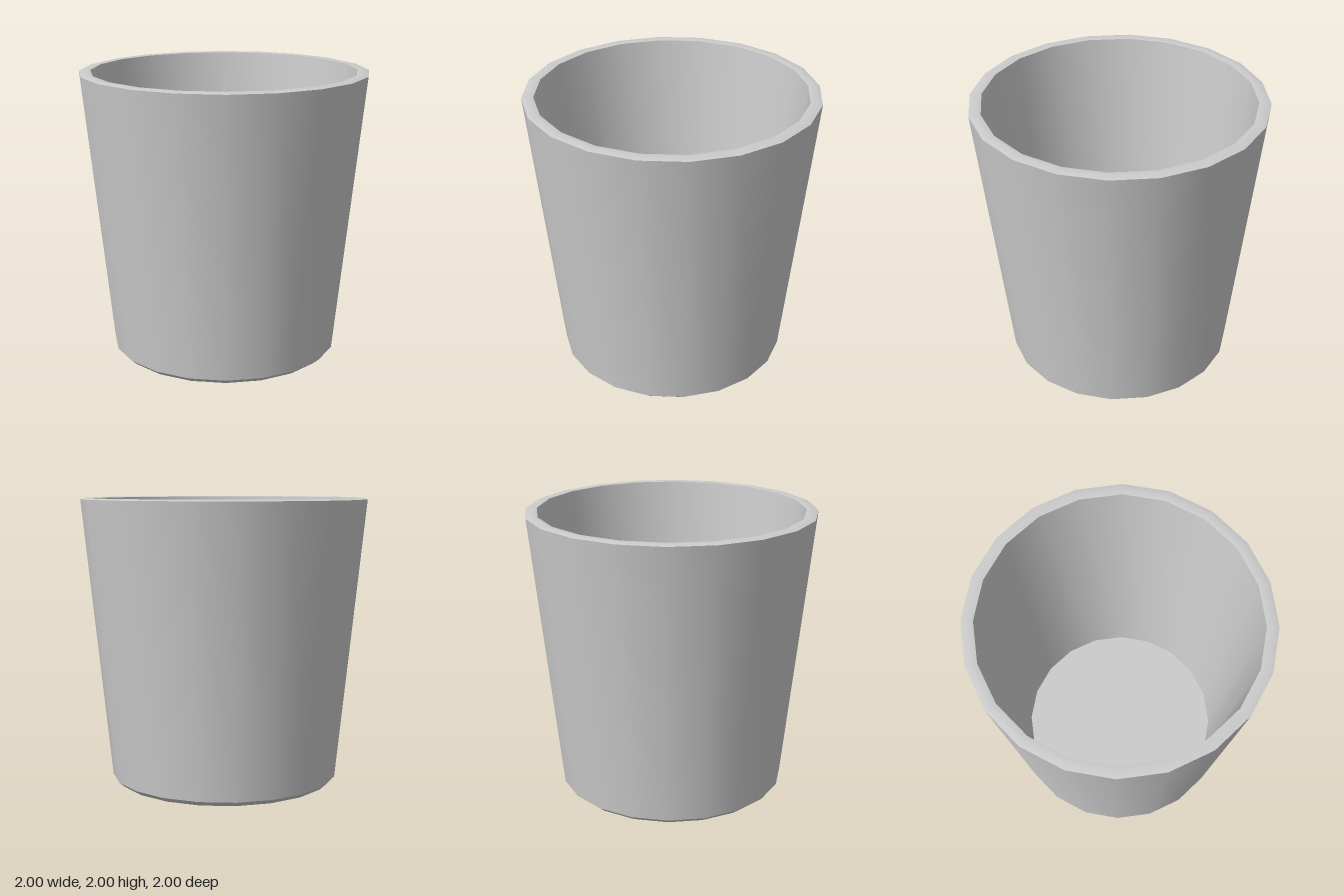
import * as THREE from 'three';
import { toCreasedNormals } from 'three/addons/utils/BufferGeometryUtils.js';

const SIDES = 20;

export function createModel() {
  const group = new THREE.Group();
  group.name = 'cup';

  // Closed wall profile: underside, chamfered foot, outer wall, rim, inner wall, floor
  const profile = [
    [0, 0], [0.76, 0],
    [0.8, 0.035],
    [1, 1.99],
    [0.96, 2], [0.92, 1.995],
    [0.705, 0.05], [0, 0.05],
  ].map(([r, y]) => new THREE.Vector2(r, y));

  // Smooth around the wall, sharp at foot, rim and floor
  const geometry = toCreasedNormals(new THREE.LatheGeometry(profile, SIDES), Math.PI / 6);
  const body = new THREE.Mesh(geometry, new THREE.MeshStandardMaterial({ color: 0xcccccc }));
  body.name = 'cupBody';
  group.add(body);

  return group;
}
